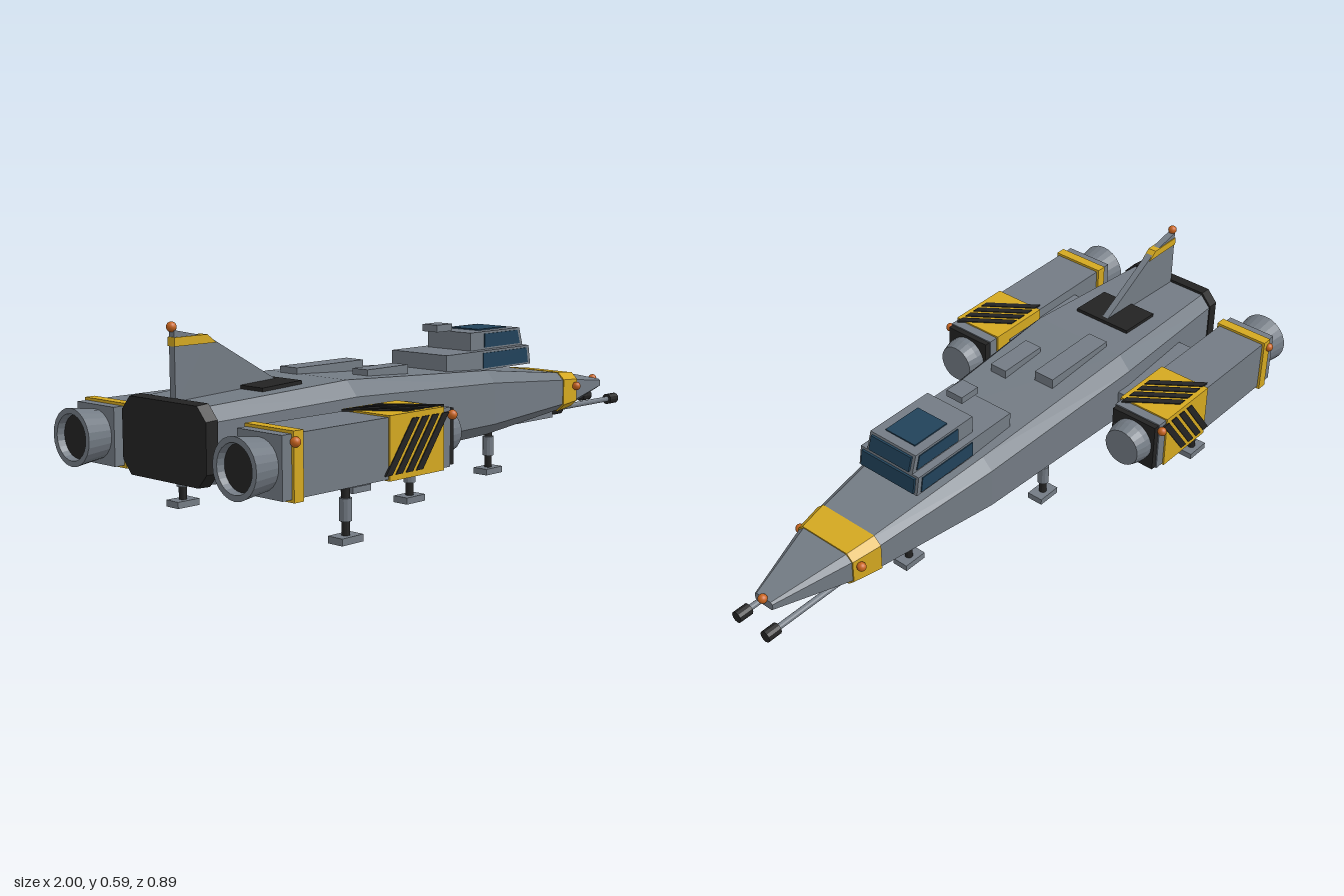
import * as THREE from 'three';

const mat = (name, color, opts = {}) => {
  const m = new THREE.MeshStandardMaterial({ color, flatShading: true, ...opts });
  m.name = name;
  return m;
};

// Octagonal skin along x from stations [x, halfWidth, bottom, top]
function loft(stations) {
  const rings = stations.map(([x, w, b, t]) => {
    const cz = w * 0.8, cy = (t - b) * 0.18;
    return [[-w, b + cy], [-w, t - cy], [-cz, t], [cz, t], [w, t - cy], [w, b + cy], [cz, b], [-cz, b]]
      .map(([z, y]) => [x, y, z]);
  });
  const pos = [];
  const tri = (...pts) => pts.forEach((p) => pos.push(...p));
  const last = rings.length - 1;
  for (let j = 0; j < 8; j++) {
    const k = (j + 1) % 8;
    for (let i = 0; i < last; i++) {
      const [a, b, c, d] = [rings[i][j], rings[i][k], rings[i + 1][k], rings[i + 1][j]];
      tri(a, b, c);
      tri(a, c, d);
    }
    const mid = ([x, , b, t]) => [x, (b + t) / 2, 0];
    tri(mid(stations[last]), rings[last][j], rings[last][k]);
    tri(mid(stations[0]), rings[0][k], rings[0][j]);
  }
  const g = new THREE.BufferGeometry();
  g.setAttribute('position', new THREE.Float32BufferAttribute(pos, 3));
  g.computeVertexNormals();
  return g;
}

// Flat outline in x,y given thickness in z, centred
function plate(points, depth) {
  const shape = new THREE.Shape(points.map(([x, y]) => new THREE.Vector2(x, y)));
  return new THREE.ExtrudeGeometry(shape, { depth, bevelEnabled: false }).translate(0, 0, -depth / 2);
}

export function createModel() {
  const gray = mat('hullGray', 0x737b84);
  const black = mat('darkMetal', 0x232323);
  const yellow = mat('hazardYellow', 0xd4a820);
  const orange = mat('lampOrange', 0xc8641e, { flatShading: false });
  const glass = mat('glassBlue', 0x21425a);
  const ship = new THREE.Group();
  ship.name = 'spaceship';

  const add = (name, geo, m, parent = ship) => {
    const mesh = new THREE.Mesh(geo, m);
    mesh.name = name;
    parent.add(mesh);
    return mesh;
  };
  // Box from its limits
  const box = (name, m, [x0, x1], [y0, y1], [z0, z1], parent) =>
    add(name, new THREE.BoxGeometry(x1 - x0, y1 - y0, z1 - z0)
      .translate((x0 + x1) / 2, (y0 + y1) / 2, (z0 + z1) / 2), m, parent);
  // Cylinder lying along x from x0 (radius r0) to x1 (radius r1)
  const tube = (name, m, x0, x1, r0, r1, y, z, sides = 24, parent) =>
    add(name, new THREE.CylinderGeometry(r1, r0, x1 - x0, sides)
      .rotateZ(-Math.PI / 2).translate((x0 + x1) / 2, y, z), m, parent);
  const lamp = (x, y, z, parent) =>
    add('lamp', new THREE.SphereGeometry(0.014, 16, 12).translate(x, y, z), orange, parent);

  // Hull with nose band and dark tail cap
  add('hull', loft([
    [-0.93, 0.17, 0.172, 0.376], [-0.43, 0.2, 0.155, 0.4], [0.2, 0.175, 0.165, 0.365],
    [0.65, 0.118, 0.192, 0.31], [0.71, 0.105, 0.197, 0.302], [0.945, 0.035, 0.228, 0.256],
  ]), gray);
  add('noseBand', loft([[0.615, 0.126, 0.186, 0.317], [0.71, 0.109, 0.193, 0.306]]), yellow);
  add('tailCap', loft([[-0.95, 0.173, 0.168, 0.382], [-0.912, 0.175, 0.167, 0.385]]), black);
  lamp(0.948, 0.255, 0);

  // Roof panels
  add('roofVent', new THREE.BoxGeometry(0.145, 0.015, 0.2).rotateZ(0.048).translate(-0.617, 0.394, 0), black);
  box('roofPanelRight', gray, [-0.44, -0.17], [0.38, 0.418], [-0.1, -0.03]);
  box('roofPanelLeft', gray, [-0.29, -0.12], [0.37, 0.41], [0.045, 0.105]);
  box('roofSensor', gray, [0.095, 0.165], [0.483, 0.505], [-0.03, 0.03]);

  // Tail fin
  add('fin', plate([[-0.915, 0.36], [-0.53, 0.385], [-0.8, 0.54], [-0.915, 0.565]], 0.022), gray);
  add('finStripe', plate([[-0.917, 0.522], [-0.775, 0.522], [-0.805, 0.546], [-0.917, 0.546]], 0.028), yellow);
  lamp(-0.915, 0.573, 0);

  // Two-tier cockpit with raked front
  const cockpit = new THREE.Group();
  cockpit.name = 'cockpit';
  ship.add(cockpit);
  const tier = (name, x0, xb, xt, y0, y1, w, win0) => {
    add(name, plate([[x0, y0], [xb, y0], [xt, y1], [x0, y1]], w * 2), gray, cockpit);
    const slope = (xt - xb) / (y1 - y0);
    const at = (y) => xb + slope * (y - y0);
    const a = y0 + 0.006, b = y1 - 0.007;
    add(name + 'Windshield', plate([[at(a), a], [at(a) + 0.007, a], [at(b) + 0.007, b], [at(b), b]],
      w * 2 - 0.02), glass, cockpit);
    for (const s of [-1, 1]) {
      add(name + 'SideWindow', plate([[win0, a], [at(a) - 0.015, a], [at(b) - 0.015, b], [win0, b]], 0.006)
        .translate(0, 0, s * w), glass, cockpit);
    }
  };
  tier('lowerCabin', 0.045, 0.452, 0.442, 0.362, 0.422, 0.113, 0.215);
  tier('upperCabin', 0.185, 0.442, 0.425, 0.422, 0.478, 0.088, 0.25);
  box('skylight', glass, [0.26, 0.395], [0.476, 0.482], [-0.057, 0.057], cockpit);

  // Landing legs
  const leg = (x, z, top) => {
    const g = new THREE.Group();
    g.name = 'landingLeg';
    g.position.set(x, 0, z);
    ship.add(g);
    box('foot', gray, [-0.04, 0.04], [0, 0.02], [-0.027, 0.027], g);
    add('strut', new THREE.CylinderGeometry(0.012, 0.012, top - 0.01, 12)
      .translate(0, (top + 0.01) / 2, 0), black, g);
    add('sleeve', new THREE.CylinderGeometry(0.018, 0.018, 0.062, 12).translate(0, 0.09, 0), gray, g);
  };
  leg(0.38, 0, 0.19);

  // One hazard stripe outline, slanted
  const stripe = (o) => plate([[o - 0.066, -0.072], [o - 0.04, -0.072], [o + 0.066, 0.072], [o + 0.04, 0.072]], 0.006);

  for (const s of [-1, 1]) {
    // Engine nacelle
    const e = new THREE.Group();
    e.name = s > 0 ? 'leftEngine' : 'rightEngine';
    e.position.set(0, 0.252, s * 0.337);
    ship.add(e);
    const block = (name, m, x0, x1, h) => box(name, m, [x0, x1], [-h, h], [-h, h], e);
    block('nacelle', gray, -0.917, -0.29, 0.083);
    block('intakePlate', black, -0.29, -0.272, 0.079);
    block('hazardBand', yellow, -0.537, -0.322, 0.088);
    block('rearBand', yellow, -0.885, -0.852, 0.091);
    tube('intake', gray, -0.275, -0.25, 0.07, 0.07, 0, 0, 24, e);
    tube('intakeTip', gray, -0.25, -0.215, 0.07, 0.06, 0, 0, 24, e);
    // Exhaust bell with a dark recess
    const bell = [[0, -0.975], [0.062, -0.975], [0.066, -1], [0.082, -1], [0.07, -0.915]]
      .map(([r, x]) => new THREE.Vector2(r, x));
    add('exhaust', new THREE.LatheGeometry(bell.slice(1), 24).rotateZ(-Math.PI / 2), gray, e);
    tube('exhaustCore', black, -0.978, -0.92, 0.064, 0.064, 0, 0, 24, e);
    for (const o of [-0.06, -0.02, 0.02, 0.06]) {
      add('sideStripe', stripe(o).translate(-0.43, 0, s * 0.088), black, e);
      add('topStripe', stripe(o).rotateX(Math.PI / 2).translate(-0.43, 0.088, 0), black, e);
    }
    lamp(-0.88, 0.063, s * 0.092, e);
    lamp(-0.292, 0.063, s * 0.092, e);

    // Pylon, legs, nose lamp
    box('pylon', gray, [-0.73, -0.38], [0.257, 0.302], s > 0 ? [0.16, 0.27] : [-0.27, -0.16]);
    leg(-0.615, s * 0.337, 0.18);
    leg(-0.12, s * 0.112, 0.18);
    lamp(0.69, 0.265, s * 0.122);

    // Chin gun
    const z = s * 0.057;
    box('gunMount', gray, [0.425, 0.615], [0.164, 0.212], [z - 0.025, z + 0.025]);
    tube('gunBreech', black, 0.61, 0.68, 0.02, 0.02, 0.186, z, 12);
    tube('gunBarrel', gray, 0.68, 0.96, 0.009, 0.009, 0.186, z, 12);
    tube('gunMuzzle', black, 0.955, 1, 0.018, 0.018, 0.186, z, 12);
  }
  return ship;
}
